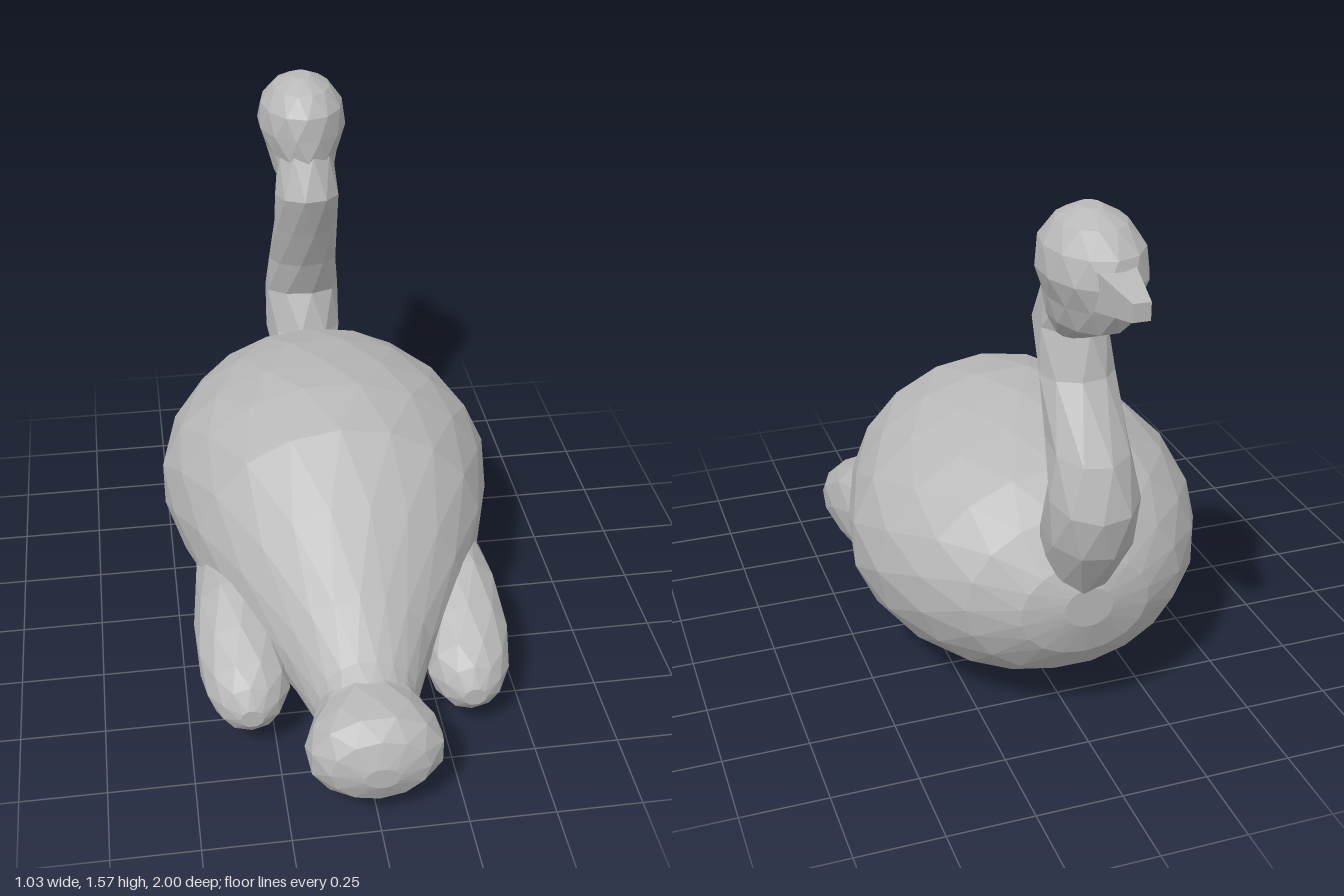
import * as THREE from 'three';

// Skin over staggered elliptical rings. Each station is [zA, yA, zB, yB, halfWidth, centreX],
// where A and B are the two opposite ends of the ring in the side plane.
function loft(stations, sides) {
  const pos = [], idx = [], last = stations.length - 1;
  stations.forEach(([zA, yA, zB, yB, w, cx = 0], i) => {
    for (let j = 0; j < sides; j++) {
      const t = ((j + (i % 2) / 2) / sides) * Math.PI * 2, s = Math.sin(t) / 2;
      pos.push(cx + w * Math.cos(t), (yA + yB) / 2 + (yB - yA) * s, (zA + zB) / 2 + (zB - zA) * s);
    }
  });
  for (let i = 0; i < last; i++) {
    for (let j = 0; j < sides; j++) {
      const k = (j + 1) % sides;
      const a = i * sides + j, a1 = i * sides + k, b = a + sides, b1 = a1 + sides;
      if (i % 2) idx.push(a, b1, b, a, a1, b1);
      else idx.push(a, a1, b, a1, b1, b);
    }
  }
  // End caps
  for (const i of [0, last]) {
    const [zA, yA, zB, yB, , cx = 0] = stations[i], c = pos.length / 3;
    pos.push(cx, (yA + yB) / 2, (zA + zB) / 2);
    for (let j = 0; j < sides; j++) {
      const a = i * sides + j, a1 = i * sides + (j + 1) % sides;
      if (i) idx.push(c, a, a1); else idx.push(c, a1, a);
    }
  }
  const g = new THREE.BufferGeometry();
  g.setAttribute('position', new THREE.Float32BufferAttribute(pos, 3));
  g.setIndex(idx);
  const flat = g.toNonIndexed();
  flat.computeVertexNormals();
  return flat;
}

// Upright ring: z, bottom, top, half width, centre x
const up = ([z, lo, hi, w, cx]) => [z, lo, z, hi, w, cx];
// Level ring: y, rear z, front z, half width
const level = ([y, rear, front, w]) => [rear, y, front, y, w];

export function createModel() {
  const group = new THREE.Group();
  const grey = new THREE.MeshStandardMaterial({ color: 0xb8b8b8 });
  grey.name = 'plain grey';
  grey.flatShading = true;
  const add = (name, geometry) => {
    const mesh = new THREE.Mesh(geometry, grey);
    mesh.name = name;
    group.add(mesh);
    return mesh;
  };

  // Egg-shaped body, tapering toward the tail
  add('body', loft([
    [-0.73, 0.38, 0.5, 0.07], [-0.7, 0.28, 0.57, 0.19], [-0.62, 0.18, 0.68, 0.32],
    [-0.5, 0.1, 0.76, 0.42], [-0.34, 0.045, 0.81, 0.495], [-0.16, 0.005, 0.84, 0.525],
    [0, 0, 0.85, 0.495], [0.2, 0.025, 0.815, 0.435], [0.4, 0.045, 0.675, 0.335],
    [0.58, 0.06, 0.49, 0.215], [0.72, 0.06, 0.38, 0.15], [0.8, 0.08, 0.34, 0.13],
  ].map(up), 18));

  // Rounded tail tuft
  add('tail', loft([
    [0.7, 0.08, 0.35, 0.14], [0.78, 0.06, 0.355, 0.165], [0.85, 0.055, 0.36, 0.195],
    [0.92, 0.06, 0.355, 0.19], [0.97, 0.1, 0.31, 0.14], [1, 0.17, 0.24, 0.05],
  ].map(up), 12));

  // Folded wing tips on both flanks
  for (const side of [1, -1]) {
    add(side > 0 ? 'leftWing' : 'rightWing', loft([
      [0.02, 0.2, 0.38, 0.07, 0.36], [0.2, 0.14, 0.42, 0.1, 0.35], [0.36, 0.11, 0.42, 0.12, 0.345],
      [0.5, 0.095, 0.365, 0.13, 0.335], [0.6, 0.09, 0.31, 0.12, 0.325],
      [0.66, 0.105, 0.265, 0.085, 0.325], [0.695, 0.15, 0.21, 0.035, 0.325],
    ].map(([z, lo, hi, w, x]) => up([z, lo, hi, w, side * x])), 10));
  }

  // S-curved neck
  add('neck', loft([
    [-0.5, 0.6, -0.72, 0.47, 0.1], [-0.56, 0.7, -0.84, 0.65, 0.125],
    [-0.61, 0.83, -0.865, 0.77, 0.125], [-0.56, 0.96, -0.82, 0.91, 0.112],
    [-0.5, 1.1, -0.69, 1.1, 0.104], [-0.445, 1.24, -0.65, 1.22, 0.102],
    [-0.5, 1.37, -0.68, 1.3, 0.09],
  ], 9));

  // Head with a sloping chin
  add('head', loft([
    [1.21, -0.55, -0.65, 0.06], [1.285, -0.5, -0.82, 0.1], [1.35, -0.495, -0.855, 0.115],
    [1.42, -0.495, -0.875, 0.14], [1.49, -0.505, -0.855, 0.13],
    [1.545, -0.56, -0.79, 0.09], [1.578, -0.63, -0.71, 0.03],
  ].map(level), 12));

  // Square, tapering beak
  const beak = new THREE.CylinderGeometry(0.034, 0.085, 0.2, 4, 1).toNonIndexed();
  beak.rotateY(Math.PI / 4).rotateX(-Math.PI / 2);
  beak.computeVertexNormals();
  add('beak', beak).position.set(0, 1.415, -0.9);

  return group;
}
